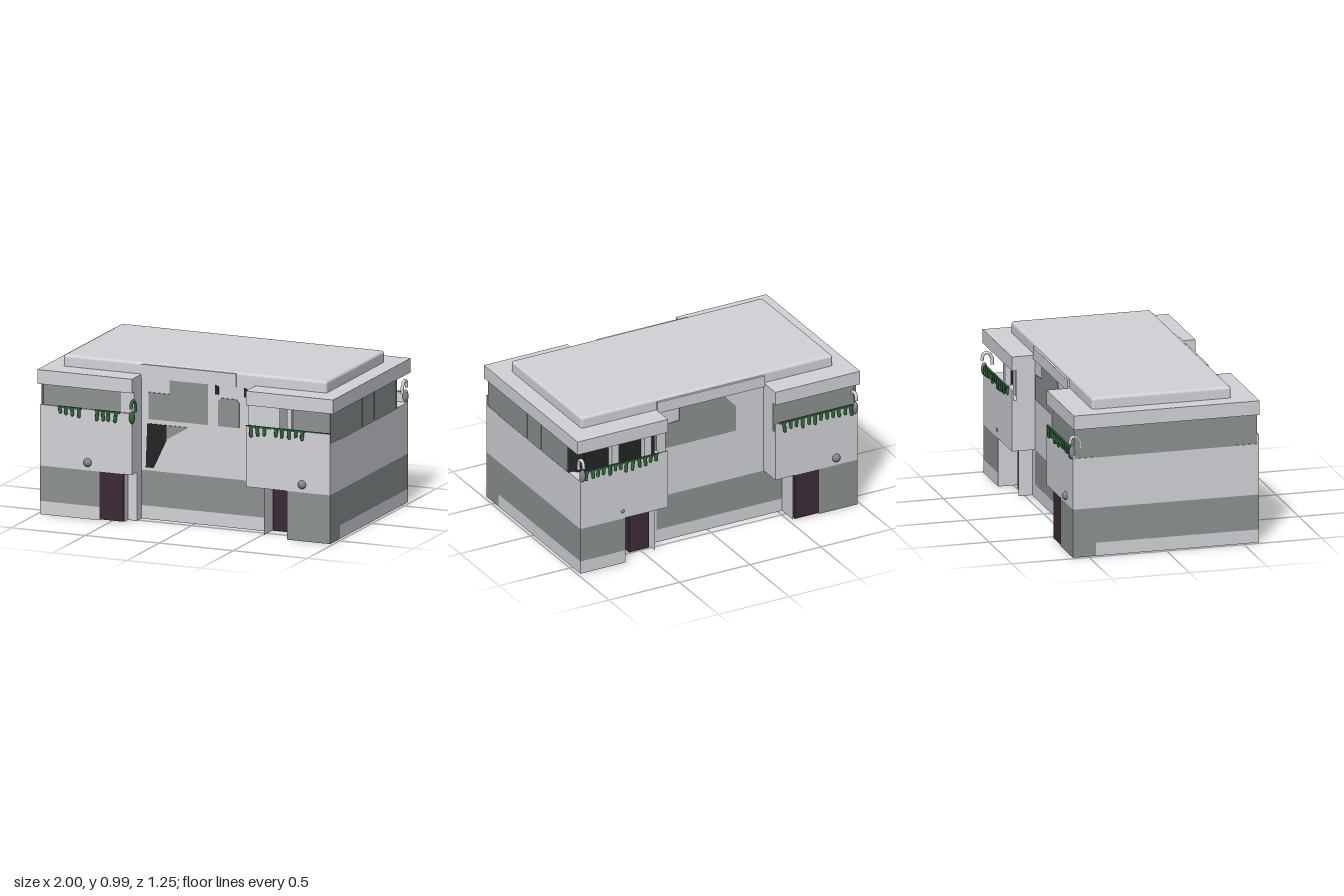
import * as THREE from 'three';
import { RoundedBoxGeometry } from 'three/addons/geometries/RoundedBoxGeometry.js';

const mat = (name, color) => {
  const m = new THREE.MeshStandardMaterial({ color, side: THREE.DoubleSide });
  m.name = name;
  return m;
};

export function createModel() {
  const g = new THREE.Group();
  const light = mat('pale wall', 0xd2d3d8), grey = mat('grey', 0x8c9190);
  const maroon = mat('dark maroon', 0x3c2b35), green = mat('leaf green', 0x33683f);
  const dark = mat('dark opening', 0x232624), metal = mat('metal grey', 0x85878a);

  const add = (name, geo, m, x = 0, y = 0, z = 0) => {
    const mesh = new THREE.Mesh(geo, m);
    mesh.name = name;
    mesh.position.set(x, y, z);
    g.add(mesh);
    return mesh;
  };
  const box = (name, m, x0, x1, y0, y1, z0, z1) =>
    add(name, new THREE.BoxGeometry(x1 - x0, y1 - y0, z1 - z0), m, (x0 + x1) / 2, (y0 + y1) / 2, (z0 + z1) / 2);

  // Upright wall that follows a plan path of [x, z] points
  const wall = (name, m, pts, y0, y1) => {
    const v = [];
    for (let i = 0; i + 1 < pts.length; i++) {
      const [ax, az] = pts[i], [bx, bz] = pts[i + 1];
      v.push(ax, y0, az, bx, y0, bz, bx, y1, bz, ax, y0, az, bx, y1, bz, ax, y1, az);
    }
    const geo = new THREE.BufferGeometry();
    geo.setAttribute('position', new THREE.Float32BufferAttribute(v, 3));
    geo.computeVertexNormals();
    return add(name, geo, m);
  };
  // Thin upright plate from [x, y] corners
  const plate = (name, m, pts, z) => add(name, new THREE.ExtrudeGeometry(
    new THREE.Shape(pts.map(p => new THREE.Vector2(...p))), { depth: 0.006, bevelEnabled: false }), m, 0, 0, z - 0.003);

  // H-shaped plan, with half width w
  const plan = w => [[-w, 0.6], [-0.36, 0.6], [-0.36, 0.45], [0.41, 0.45], [0.41, 0.6], [w, 0.6],
    [w, -0.6], [0.36, -0.6], [0.36, -0.45], [-0.4, -0.45], [-0.4, -0.6], [-w, -0.6], [-w, 0.6]];
  wall('middleWalls', light, plan(0.98), 0.31, 0.635);

  // Roof slab and raised roof
  const roofShape = new THREE.Shape(plan(1).slice(0, -1).map(([x, z]) => new THREE.Vector2(x, -z)));
  const roof = new THREE.ExtrudeGeometry(roofShape, { depth: 0.09, bevelEnabled: false });
  roof.rotateX(-Math.PI / 2);
  add('roofSlab', roof, light, 0, 0.83, 0);
  add('raisedRoof', new RoundedBoxGeometry(1.78, 0.11, 0.9, 3, 0.018), light, 0, 0.938, 0);
  box('frontParapet', light, -0.36, 0.28, 0.9, 0.985, 0.44, 0.458);
  box('backParapet', light, -0.4, 0.36, 0.9, 0.975, -0.465, -0.44);

  // Lower side walls: grey band over a pale foot, grey to the ground at one corner
  const sides = [[[-0.58, 0.6], [-0.98, 0.6], [-0.98, -0.45], [-0.98, -0.6], [-0.71, -0.6]],
    [[0.66, -0.6], [0.98, -0.6], [0.98, 0.45], [0.98, 0.6], [0.69, 0.6]]];
  for (const p of sides) {
    wall('sideBand', grey, p, 0.085, 0.31);
    wall('sideFoot', light, p.slice(0, 3), 0, 0.085);
    wall('cornerFoot', grey, p.slice(2), 0, 0.085);
  }
  for (const p of [[[-0.36, 0.45], [0.51, 0.45]], [[0.36, -0.45], [-0.53, -0.45]]]) {
    wall('middleBand', grey, p, 0.085, 0.31);
    wall('middleFoot', light, p, 0, 0.085);
  }

  // Porch side walls and undersides of the overhanging corners
  wall('porchWall', light, [[-0.42, 0.58], [-0.42, 0.52], [-0.36, 0.52], [-0.36, 0.45]], 0, 0.31);
  wall('porchWall', light, [[0.51, 0.55], [0.51, 0.42], [0.69, 0.42], [0.69, 0.6]], 0, 0.31);
  wall('porchWall', light, [[0.36, -0.45], [0.42, -0.45], [0.42, -0.54]], 0, 0.31);
  wall('porchWall', light, [[0.58, -0.45], [0.66, -0.45], [0.66, -0.6]], 0, 0.31);
  wall('porchWall', light, [[-0.53, -0.45], [-0.53, -0.59]], 0, 0.31);
  for (const [x0, x1, s] of [[-0.7, -0.36, 1], [0.41, 0.75, 1], [0.36, 0.7, -1], [-0.74, -0.4, -1]])
    box('porchCeiling', light, x0, x1, 0.31, 0.316, s > 0 ? 0.4 : -0.6, s > 0 ? 0.6 : -0.4);

  // Doors
  box('door', maroon, -0.58, -0.42, 0.005, 0.31, 0.4, 0.595);
  box('door', maroon, 0.52, 0.64, 0.005, 0.31, 0.3, 0.43);
  box('door', maroon, 0.44, 0.58, 0.005, 0.31, -0.5, -0.36);
  box('door', maroon, -0.71, -0.54, 0.005, 0.31, -0.597, -0.4);

  // Upper storey: recessed walls, window bands and low window parapets
  wall('upperFrontWall', light, [[-0.36, 0.57], [-0.36, 0.45], [0.41, 0.45], [0.41, 0.57]], 0.63, 0.92);
  wall('upperBackWall', light, [[0.36, -0.57], [0.36, -0.45], [-0.4, -0.45], [-0.4, -0.57]], 0.63, 0.92);
  wall('sideWindows', grey, [[0.975, 0.59], [0.975, -0.44]], 0.63, 0.83);
  wall('sideWindows', grey, [[-0.975, 0.59], [-0.975, -0.59]], 0.63, 0.83);
  for (const s of [1, -1]) for (const z of [0.09, -0.09, -0.43])
    box('windowPost', grey, s * 0.975 - 0.004, s * 0.975 + 0.004, 0.63, 0.83, z - 0.004, z + 0.004);
  for (const [x0, x1, s] of [[-0.98, -0.36, 1], [0.41, 0.98, 1], [0.36, 0.98, -1], [-0.98, -0.4, -1]]) {
    box('windowParapet', light, x0, x1, 0.63, 0.7, s * 0.595 - 0.005, s * 0.595 + 0.005);
    box('windowSill', light, x0, x1, 0.63, 0.638, s > 0 ? 0.45 : -0.6, s > 0 ? 0.6 : -0.45);
  }
  wall('frontWindow', grey, [[-0.975, 0.56], [-0.45, 0.56]], 0.64, 0.83);
  wall('frontWindowJamb', light, [[-0.45, 0.56], [-0.36, 0.57]], 0.64, 0.83);
  wall('frontWindow', grey, [[0.62, 0.56], [0.975, 0.56]], 0.64, 0.83);
  wall('frontWindowJamb', light, [[0.41, 0.57], [0.62, 0.54]], 0.64, 0.83);
  wall('backWindow', grey, [[-0.975, -0.56], [-0.4, -0.56]], 0.64, 0.83);
  wall('backOpening', dark, [[0.4, -0.5], [0.9, -0.5], [0.975, -0.44]], 0.64, 0.83);
  for (const x of [0.45, 0.68])
    box('openingPost', light, x, x + 0.05, 0.64, 0.83, -0.55, -0.51);
  box('frontPost', light, 0.68, 0.71, 0.64, 0.83, 0.56, 0.58);

  // Windows and openings of the recessed middle
  plate('middleWindow', grey, [[-0.31, 0.64], [0.09, 0.64], [0.09, 0.91], [-0.17, 0.91], [-0.17, 0.81], [-0.31, 0.81]], 0.453);
  plate('smallWindow', grey, [[0.16, 0.64], [0.3, 0.64], [0.3, 0.8], [0.28, 0.82], [0.18, 0.82], [0.16, 0.8]], 0.453);
  plate('backMiddleWindow', grey, [[-0.2, 0.64], [0.33, 0.64], [0.33, 0.8], [0.2, 0.81], [0.2, 0.9], [-0.12, 0.9], [-0.2, 0.81]], -0.453);
  plate('entranceOpening', dark, [[-0.33, 0.33], [-0.28, 0.33], [-0.19, 0.52], [-0.19, 0.61], [-0.32, 0.61]], 0.453);
  plate('entranceShade', grey, [[-0.19, 0.52], [-0.04, 0.61], [-0.19, 0.61]], 0.453);
  for (const x of [0.15, 0.345])
    plate('wallSlot', dark, [[x - 0.012, 0.84], [x + 0.012, 0.84], [x + 0.012, 0.89], [x - 0.012, 0.9]], 0.453);

  // Round lamps
  for (const [x, z, r] of [[-0.66, 0.597, 0.028], [0.79, 0.597, 0.028], [-0.83, -0.597, 0.028], [0.68, -0.597, 0.012]])
    add('roundLamp', new THREE.SphereGeometry(r, 16, 12), metal, x, 0.36, z);

  // Hanging plants along the window parapets
  let seed = 7;
  const rnd = () => (seed = (seed * 16807) % 2147483647) / 2147483647;
  for (const [x0, x1, s] of [[-0.86, -0.7, 1], [-0.61, -0.44, 1], [0.43, 0.58, 1], [0.6, 0.81, 1],
    [-0.95, -0.43, -1], [0.43, 0.97, -1]]) {
    box('vineStem', green, x0, x1, 0.692, 0.704, s * 0.601 - 0.006, s * 0.601 + 0.006);
    for (let x = x0 + 0.015; x < x1; x += 0.036 + rnd() * 0.012) {
      const len = 0.025 + rnd() * 0.03;
      const leaf = add('hangingLeaf', new THREE.CapsuleGeometry(0.012, len, 3, 6), green, x, 0.692 - len / 2, s * 0.603);
      leaf.rotation.z = (rnd() - 0.5) * 0.3;
    }
  }
  box('vineStem', green, 0.41, 0.98, 0.697, 0.704, 0.596, 0.604);

  // Corner planters with curled stems
  for (const [x, z, m] of [[-0.36, 0.6, green], [0.965, -0.6, metal], [-0.965, -0.6, metal]]) {
    const pot = add('cornerPlanter', new THREE.SphereGeometry(0.03, 12, 10), m, x, 0.675, z);
    pot.scale.set(0.6, 1.4, 0.7);
    const s = Math.sign(z);
    const curl = new THREE.CatmullRomCurve3([[0.7, -0.05], [0.74, -0.05], [0.775, -0.025], [0.77, 0.005], [0.73, 0.015]]
      .map(([y, d]) => new THREE.Vector3(x, y, z + s * d)));
    add('curledStem', new THREE.TubeGeometry(curl, 16, 0.011, 8), m === green ? green : light);
  }
  return g;
}
